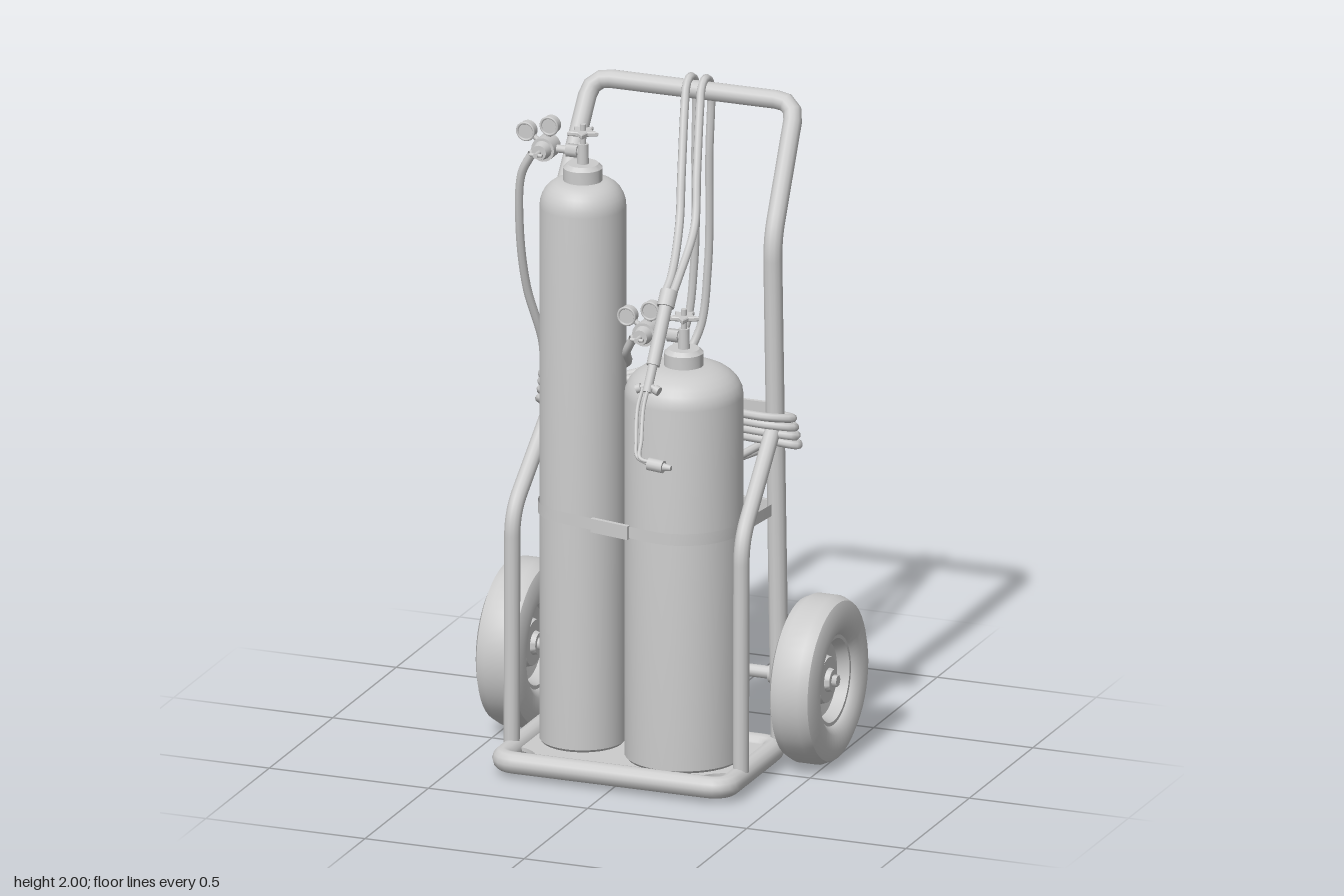
import * as THREE from 'three';
import { toCreasedNormals } from 'three/addons/utils/BufferGeometryUtils.js';

const V = (p) => new THREE.Vector3(...p);
const mat = new THREE.MeshStandardMaterial({ color: 0xcccccc });
const thin = new THREE.MeshStandardMaterial({ color: 0xcccccc, side: THREE.DoubleSide });

function add(parent, name, geometry, pos = [0, 0, 0], material = mat) {
  const mesh = new THREE.Mesh(geometry, material);
  mesh.name = name;
  mesh.position.set(...pos);
  parent.add(mesh);
  return mesh;
}

// Straight pipes joined by rounded corners
function pipe(parent, name, pts, r, bend, closed = false) {
  const p = pts.map(V), n = p.length, path = new THREE.CurvePath();
  const toward = (a, b) => a.clone().add(b.clone().sub(a).setLength(bend));
  let from = closed ? toward(p[0], p[1]) : p[0];
  for (let i = 1; i < (closed ? n + 1 : n - 1); i++) {
    const c = p[i % n], a = toward(c, p[i - 1]), b = toward(c, p[(i + 1) % n]);
    path.add(new THREE.LineCurve3(from, a));
    path.add(new THREE.QuadraticBezierCurve3(a, c, b));
    from = b;
  }
  if (!closed) path.add(new THREE.LineCurve3(from, p[n - 1]));
  return add(parent, name, new THREE.TubeGeometry(path, 140, r, 12, closed), undefined, thin);
}

function hose(parent, name, pts, r = 0.013, closed = false) {
  const curve = new THREE.CatmullRomCurve3(pts.map(V), closed, 'centripetal');
  return add(parent, name, new THREE.TubeGeometry(curve, 110, r, 8, closed), undefined, thin);
}

// Cylinder between two points
function rod(parent, name, a, b, r, r2 = r, sides = 14) {
  const A = V(a), d = V(b).sub(A);
  const mesh = add(parent, name, new THREE.CylinderGeometry(r2, r, d.length(), sides));
  mesh.position.copy(A).addScaledVector(d, 0.5);
  mesh.quaternion.setFromUnitVectors(new THREE.Vector3(0, 1, 0), d.normalize());
  return mesh;
}

function lathe(parent, name, profile, sides = 40) {
  const pts = profile.map(([x, y]) => new THREE.Vector2(x, y));
  return add(parent, name, toCreasedNormals(new THREE.LatheGeometry(pts, sides), 0.6));
}

function starShape(r1, r2) {
  const pts = Array.from({ length: 10 }, (_, i) => {
    const r = i % 2 ? r2 : r1, a = i * Math.PI / 5;
    return new THREE.Vector2(r * Math.cos(a), r * Math.sin(a));
  });
  return new THREE.Shape(pts);
}

// Gas bottle with domed shoulder, collar, valve and star handwheel
function bottle(parent, name, x, z, r, shoulder, top, neck) {
  const g = new THREE.Group();
  g.name = name;
  g.position.set(x, 0, z);
  const profile = [[0, 0.055], [r - 0.008, 0.055], [r, 0.065]];
  const rise = top - 0.05 - shoulder;
  for (let i = 0; i <= 7; i++) {
    const a = i / 7 * Math.PI / 2;
    profile.push([neck + (r - neck) * Math.cos(a), shoulder + rise * Math.sin(a)]);
  }
  profile.push([neck, top - 0.012], [neck - 0.012, top], [0, top]);
  lathe(g, 'bottleBody', profile);
  rod(g, 'valveStem', [0, top - 0.01, 0], [0, top + 0.06, 0], 0.018, 0.016);
  rod(g, 'valveSpindle', [0, top + 0.06, 0], [0, top + 0.12, 0], 0.009);
  const star = new THREE.ExtrudeGeometry(starShape(0.044, 0.022), {
    depth: 0.008, bevelEnabled: true, bevelSize: 0.003, bevelThickness: 0.003, bevelSegments: 1,
  });
  add(g, 'valveHandwheel', star.rotateX(-Math.PI / 2), [0, top + 0.09, 0]);
  parent.add(g);
}

// Pressure regulator reaching out towards -x, with two gauges
function regulator(parent, name, x, y, z, reach) {
  const g = new THREE.Group();
  g.name = name;
  g.position.set(x, y, z);
  rod(g, 'inletPipe', [reach, 0, 0], [0, 0, 0], 0.012);
  rod(g, 'inletNut', [reach - 0.015, 0, 0], [reach - 0.05, 0, 0], 0.02, 0.02, 6);
  rod(g, 'regulatorBody', [0, 0, -0.025], [0, 0, 0.03], 0.036, 0.036, 20);
  rod(g, 'regulatorBonnet', [0, 0, 0.03], [0, 0, 0.058], 0.028, 0.022, 20);
  rod(g, 'adjustingScrew', [0, 0, 0.05], [0, 0, 0.09], 0.007);
  rod(g, 'adjustingBar', [-0.02, 0, 0.082], [0.02, 0, 0.082], 0.005);
  for (const [gx, gy] of [[-0.06, 0.045], [0.014, 0.07]]) {
    rod(g, 'gaugeStem', [0, 0, 0], [gx, gy, 0], 0.008);
    rod(g, 'gauge', [gx, gy, -0.012], [gx, gy, 0.014], 0.028, 0.028, 20);
    add(g, 'gaugeRim', new THREE.TorusGeometry(0.026, 0.004, 6, 20), [gx, gy, 0.014]);
  }
  rod(g, 'hoseOutlet', [0, 0, 0], [-0.045, -0.025, 0.0], 0.012);
  parent.add(g);
}

function wheel(parent, side) {
  const g = new THREE.Group();
  g.name = side > 0 ? 'leftWheel' : 'rightWheel';
  g.position.set(side * 0.462, 0.25, -0.165);
  g.rotation.z = -side * Math.PI / 2;
  const half = [[0.25, 0.03], [0.237, 0.058], [0.205, 0.073], [0.16, 0.068], [0.137, 0.05], [0.13, 0.03]];
  const flip = half.map(([r, y]) => [r, -y]).reverse();
  lathe(g, 'tyre', [...flip, ...half, flip[0]], 48);
  const rim = [[0.138, 0.046], [0.125, 0.046], [0.112, 0.012], [0.075, 0.006], [0.068, 0.03], [0.036, 0.03], [0.032, 0.045], [0, 0.045]];
  lathe(g, 'rim', [...rim.map(([r, y]) => [r, -y]).reverse(), ...rim], 32);
  rod(g, 'axleNut', [0, 0.04, 0], [0, 0.06, 0], 0.018, 0.018, 6);
  parent.add(g);
}

// Flat band swept along an (x, z) outline
function band(parent, name, outline, y, height) {
  const n = outline.length, geo = new THREE.PlaneGeometry(1, height, n - 1, 1);
  const pos = geo.attributes.position;
  for (let i = 0; i < pos.count; i++) pos.setXYZ(i, outline[i % n][0], pos.getY(i), outline[i % n][1]);
  geo.computeVertexNormals();
  add(parent, name, geo, [0, y, 0], thin);
}

function arc(cx, cz, r, from, to, n = 14) {
  return Array.from({ length: n + 1 }, (_, i) => {
    const a = THREE.MathUtils.degToRad(from + (to - from) * i / n);
    return [cx + r * Math.cos(a), cz + r * Math.sin(a)];
  });
}

export function createModel() {
  const model = new THREE.Group();
  model.name = 'gasWeldingCart';

  // Frame
  const frame = new THREE.Group();
  frame.name = 'frame';
  model.add(frame);
  pipe(frame, 'baseFrame', [[0, 0.045, 0.313], [0.355, 0.045, 0.313], [0.355, 0.045, -0.11], [-0.355, 0.045, -0.11], [-0.355, 0.045, 0.313]], 0.033, 0.055, true);
  pipe(frame, 'handle', [
    [-0.362, 0.05, -0.11], [-0.337, 1.6, -0.112], [-0.32, 1.953, -0.338],
    [0.32, 1.953, -0.338], [0.337, 1.6, -0.112], [0.362, 0.05, -0.11]], 0.028, 0.06);
  for (const s of [-1, 1]) {
    pipe(frame, 'frontPost', [[s * 0.36, 0.05, 0.195], [s * 0.36, 0.77, 0.19], [s * 0.345, 1.04, -0.11]], 0.024, 0.07);
    rod(frame, 'axleCollar', [s * 0.31, 0.25, -0.165], [s * 0.4, 0.25, -0.165], 0.03);
    add(frame, 'axleBracket', new THREE.BoxGeometry(0.02, 0.08, 0.07), [s * 0.355, 0.25, -0.14]);
    wheel(model, s);
  }
  rod(frame, 'axle', [-0.47, 0.25, -0.165], [0.47, 0.25, -0.165], 0.019);
  for (const y of [0.78, 1.08]) add(frame, 'crossbar', new THREE.BoxGeometry(0.68, 0.04, 0.012), [0, y, -0.115]);

  // Floor plate with scooped front corners
  const plate = new THREE.Shape();
  plate.moveTo(-0.345, 0.11);
  plate.lineTo(-0.345, -0.205);
  plate.absarc(-0.345, -0.3, 0.095, Math.PI / 2, 0, true);
  plate.lineTo(0.25, -0.3);
  plate.absarc(0.345, -0.3, 0.095, Math.PI, Math.PI / 2, true);
  plate.lineTo(0.345, 0.11);
  add(frame, 'floorPlate', new THREE.ExtrudeGeometry(plate, { depth: 0.012, bevelEnabled: false }).rotateX(-Math.PI / 2), [0, 0.045, 0]);

  // Bottles, regulators and strap
  bottle(model, 'tallBottle', -0.185, 0.073, 0.127, 1.7, 1.83, 0.058);
  bottle(model, 'wideBottle', 0.143, 0.1, 0.174, 1.17, 1.31, 0.058);
  regulator(model, 'tallRegulator', -0.3, 1.865, 0.073, 0.115);
  regulator(model, 'wideRegulator', 0.028, 1.345, 0.1, 0.115);
  const strap = [[-0.35, -0.135], ...arc(-0.185, 0.073, 0.131, 172, 103), ...arc(0.143, 0.1, 0.178, 103, 6), [0.35, -0.135], [-0.35, -0.135]];
  band(model, 'strap', strap, 0.778, 0.036);
  const buckle = add(model, 'strapBuckle', new THREE.BoxGeometry(0.13, 0.042, 0.014), [-0.03, 0.778, 0.247]);
  buckle.rotation.y = -0.22;

  // Coiled hoses hung round the rear posts
  for (let i = 0; i < 4; i++) {
    const y = 1.1 - i * 0.027, o = i * 0.009, sag = [0.05, 0.12, 0.19, 0.16][i];
    hose(model, 'hoseCoil', [
      [-0.385 - o * 0.6, y, -0.125], [-0.35, y + 0.01, -0.06 - o], [-0.19, y - 0.02, -0.085 - o], [0.1, y - 0.03, -0.095 - o],
      [0.34, y - 0.03, -0.065 - o], [0.4 + o * 0.6, y - 0.04, -0.11], [0.36, y - 0.05, -0.15 - o],
      [0.15, y - sag * 0.9, -0.155 - o], [-0.08, y - sag, -0.16 - o], [-0.29, y - sag * 0.5, -0.155 - o]], 0.013, true);
  }
  // Supply hoses from the regulators to the coil
  hose(model, 'tallSupplyHose', [[-0.345, 1.84, 0.073], [-0.38, 1.77, 0.068], [-0.397, 1.6, 0.04], [-0.395, 1.4, -0.01], [-0.37, 1.22, -0.07], [-0.385, 1.1, -0.12]]);
  hose(model, 'wideSupplyHose', [[-0.017, 1.32, 0.1], [-0.045, 1.27, 0.08], [-0.065, 1.22, 0.02], [-0.13, 1.17, -0.07], [-0.25, 1.12, -0.085], [-0.36, 1.08, -0.075]]);
  // Torch hoses draped over the handle
  for (const s of [0, 1]) {
    const x = -0.012 + s * 0.048, t = 0.086 + s * 0.024;
    hose(model, 'torchHose', [
      [t, 1.47, 0.11], [t - 0.002, 1.51, 0.05], [x + 0.065, 1.62, -0.09], [x + 0.04, 1.75, -0.17], [x + 0.008, 1.92, -0.275],
      [x, 1.975, -0.31], [x, 1.99, -0.34], [x, 1.96, -0.378], [x - 0.005, 1.75, -0.392 + s * 0.01],
      [x - 0.01, 1.4, -0.395 + s * 0.012], [x - 0.03, 1.2, -0.37 + s * 0.01], [x - 0.08, 1.11, -0.325 + s * 0.02],
      [-0.24, 1.06, -0.235 + s * 0.025], [-0.37, 1.04 + s * 0.03, -0.16 + s * 0.02]]);
  }

  // Torch
  const torch = new THREE.Group();
  torch.name = 'torch';
  model.add(torch);
  rod(torch, 'torchInlet', [0.097, 1.48, 0.1], [0.097, 1.44, 0.13], 0.026);
  rod(torch, 'torchHandle', [0.097, 1.45, 0.122], [0.097, 1.29, 0.228], 0.02);
  rod(torch, 'torchMixer', [0.097, 1.3, 0.222], [0.094, 1.22, 0.268], 0.014);
  for (const s of [-1, 1]) {
    rod(torch, 'torchValve', [0.095, 1.24, 0.257], [0.095 + s * 0.035, 1.225, 0.265], 0.008);
    rod(torch, 'torchKnob', [0.095 + s * 0.022, 1.23, 0.262], [0.095 + s * 0.036, 1.225, 0.265], 0.014);
    hose(torch, 'cuttingTube', [[0.088 + s * 0.008, 1.23, 0.265], [0.085 + s * 0.009, 1.18, 0.295], [0.103 + s * 0.008, 1.1, 0.355], [0.115 + s * 0.006, 1.058, 0.385 + s * 0.004], [0.165, 1.046 + s * 0.005, 0.395]], 0.006);
  }
  rod(torch, 'torchHead', [0.15, 1.046, 0.395], [0.198, 1.043, 0.398], 0.019);
  rod(torch, 'torchTip', [0.198, 1.043, 0.398], [0.222, 1.042, 0.399], 0.012, 0.008);
  return model;
}
